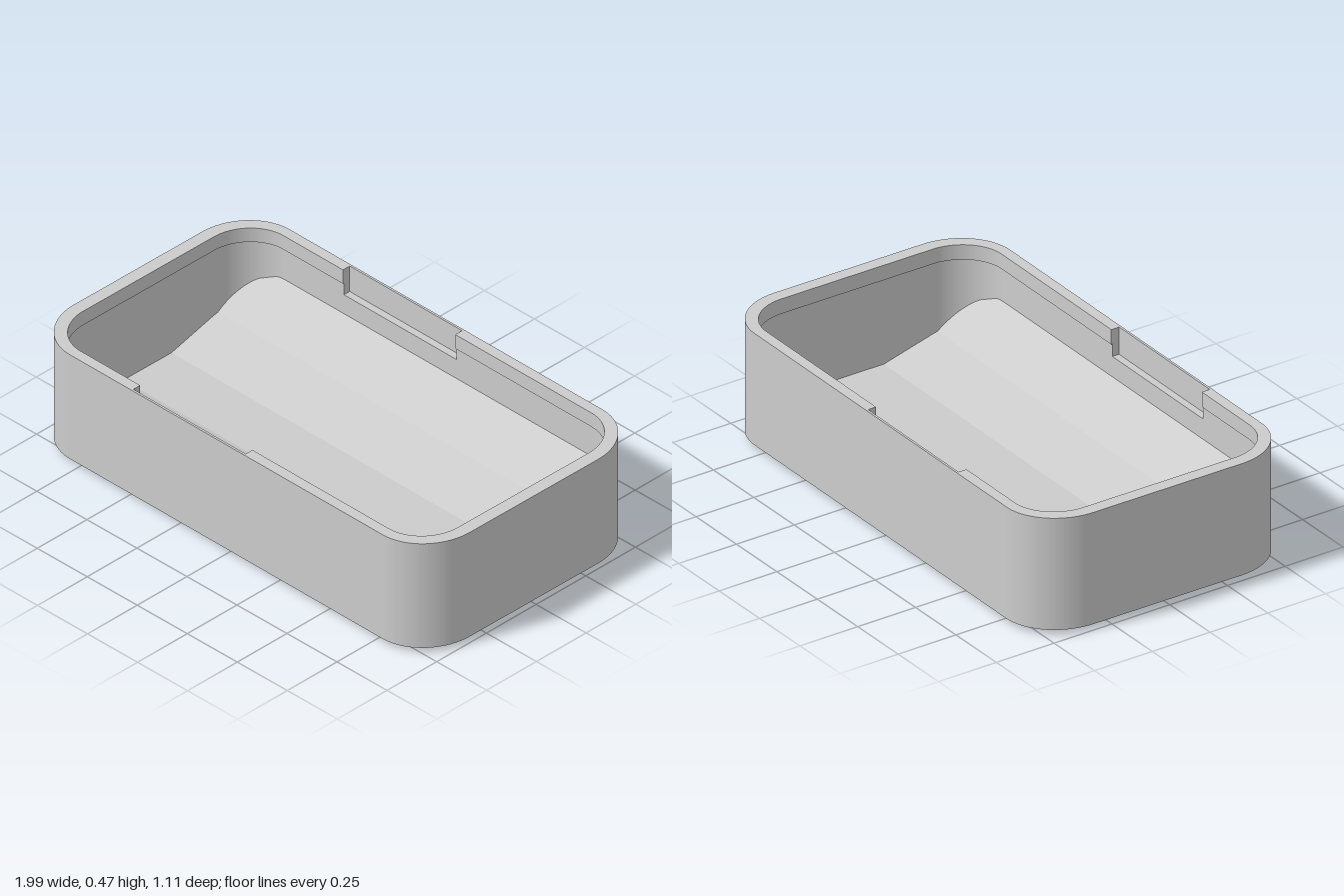
import * as THREE from 'three';

const RIM = 0.47, BASE = 0.02, SLOT_Y = 0.36, LEDGE_Y = 0.41;

// Rounded rectangle; an optional slot pushes the two long edges outward
function outline(path, hx, hz, rx, rz, slot) {
  const cx = hx - rx, cz = hz - rz;
  const edge = (from, to, s) => {
    if (!slot) return;
    path.lineTo(from, s * hz);
    path.lineTo(from, s * slot.z);
    path.lineTo(to, s * slot.z);
    path.lineTo(to, s * hz);
  };
  path.moveTo(hx, -cz);
  path.lineTo(hx, cz);
  path.absellipse(cx, cz, rx, rz, 0, Math.PI / 2);
  edge(slot?.x1, slot?.x0, 1);
  path.lineTo(-cx, hz);
  path.absellipse(-cx, cz, rx, rz, Math.PI / 2, Math.PI);
  path.lineTo(-hx, -cz);
  path.absellipse(-cx, -cz, rx, rz, Math.PI, Math.PI * 1.5);
  edge(slot?.x0, slot?.x1, -1);
  path.lineTo(cx, -hz);
  path.absellipse(cx, -cz, rx, rz, Math.PI * 1.5, Math.PI * 2);
  return path;
}

// Upright extrusion of the outer outline between two heights
function slab(y0, y1, hole) {
  const shape = outline(new THREE.Shape(), 0.995, 0.55, 0.21, 0.23);
  if (hole) shape.holes.push(hole);
  const geo = new THREE.ExtrudeGeometry(shape, { depth: y1 - y0, bevelEnabled: false, curveSegments: 16 });
  return geo.rotateX(-Math.PI / 2).translate(0, y0, 0);
}

// Trough floor: faceted cross-section along z, trimmed to the rounded inner wall
function troughGeometry() {
  const profile = [[0.12, 0.068]];
  for (let i = 0; i <= 4; i++) profile.push([0.35 + i * 0.041, 0.13 + i * 0.0375]);
  const rows = [...profile.map(([z, y]) => [-z, y]).reverse(), ...profile];
  const halfWidth = (z) => {
    const t = Math.max(0, (Math.abs(z) - 0.325) / 0.19);
    return 0.775 + 0.175 * Math.sqrt(Math.max(0, 1 - t * t));
  };
  const pos = [];
  for (let i = 0; i < rows.length - 1; i++) {
    const [z0, y0] = rows[i], [z1, y1] = rows[i + 1];
    const a = halfWidth(z0) + 0.005, b = halfWidth(z1) + 0.005;
    pos.push(-a, y0, z0, -b, y1, z1, b, y1, z1);
    pos.push(-a, y0, z0, b, y1, z1, a, y0, z0);
  }
  const geo = new THREE.BufferGeometry();
  geo.setAttribute('position', new THREE.Float32BufferAttribute(pos, 3));
  geo.computeVertexNormals();
  return geo;
}

export function createModel() {
  const group = new THREE.Group();
  group.name = 'tray';
  const grey = new THREE.MeshStandardMaterial({ color: 0xcccccc });
  grey.name = 'light grey';

  const add = (name, geo) => {
    const mesh = new THREE.Mesh(geo, grey);
    mesh.name = name;
    group.add(mesh);
  };

  // Base and walls; the rim overhangs slightly and holds the two lid catch slots
  const slot = { x0: -0.475, x1: 0.09, z: 0.541 };
  const inner = (s) => outline(new THREE.Path(), 0.948, 0.512, 0.172, 0.185, s);
  const lip = outline(new THREE.Path(), 0.943, 0.507, 0.17, 0.182, slot);
  add('base', slab(BASE, 0.035));
  add('lowerWall', slab(0.035, SLOT_Y, inner()));
  add('slotWall', slab(SLOT_Y, LEDGE_Y, inner(slot)));
  add('rimWall', slab(LEDGE_Y, RIM, lip));
  add('troughFloor', troughGeometry());

  // Staggered tapered grip studs under the base
  const inside = (x, z) => {
    const dx = Math.max(0, Math.abs(x) - 0.76) / 0.2;
    const dz = Math.max(0, Math.abs(z) - 0.32) / 0.186;
    return dx * dx + dz * dz < 1;
  };
  const stud = new THREE.CylinderGeometry(0.031, 0.019, BASE, 16).translate(0, BASE / 2, 0);
  const studs = new THREE.Group();
  studs.name = 'gripStuds';
  for (let r = 0; r < 11; r++) {
    const z = 0.417 - r * 0.092;
    for (let c = 0; c < 18; c++) {
      const x = -0.896 + c * 0.106 + (r % 2) * 0.053;
      if (Math.abs(x) > 0.92 || !inside(x, z)) continue;
      const mesh = new THREE.Mesh(stud, grey);
      mesh.name = 'gripStud';
      mesh.position.set(x, 0, z);
      studs.add(mesh);
    }
  }
  group.add(studs);

  // The whole tray sits very slightly turned
  group.rotation.y = -0.006;
  return group;
}
